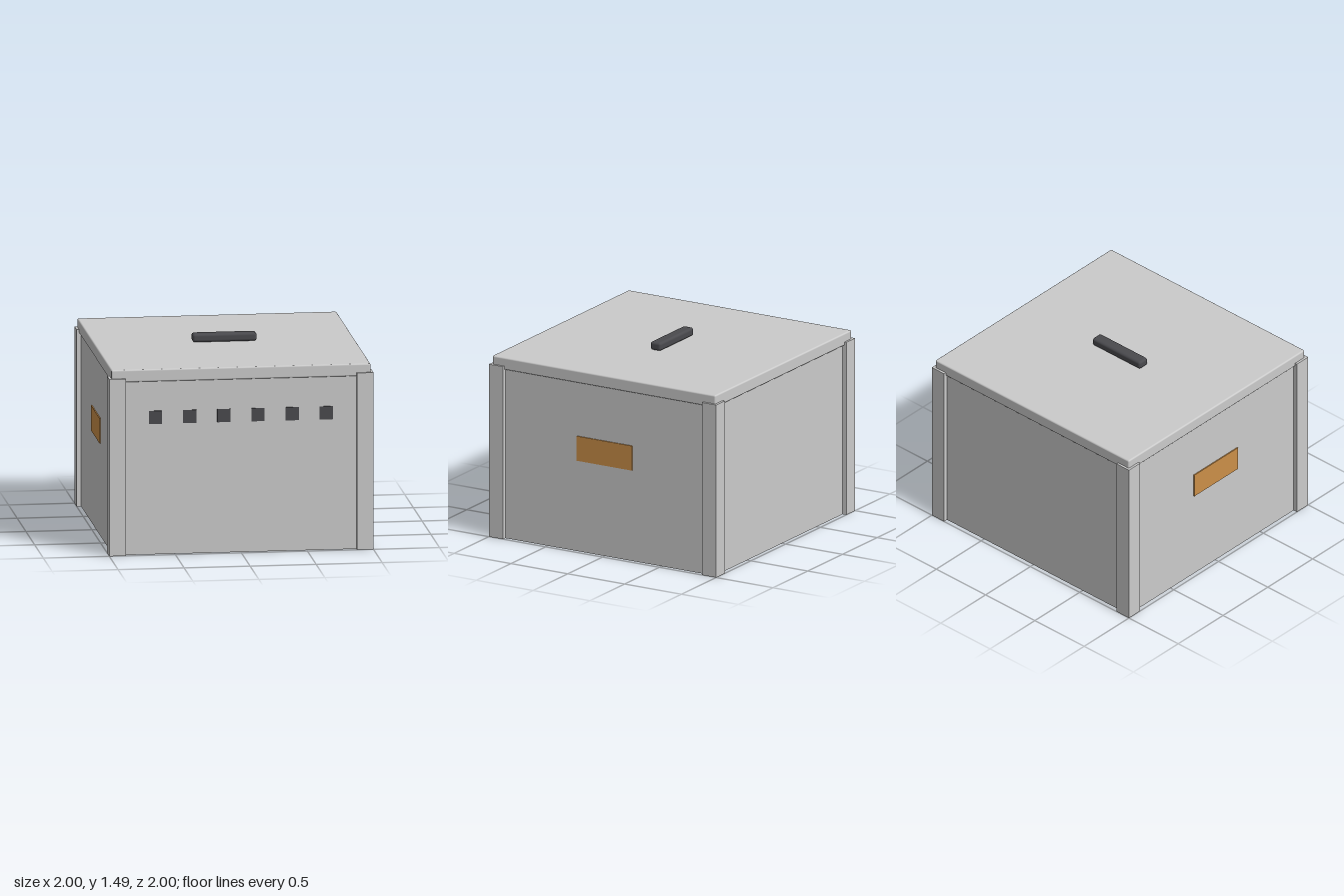
import * as THREE from 'three';
import { RoundedBoxGeometry } from 'three/addons/geometries/RoundedBoxGeometry.js';

export function createModel() {
  const model = new THREE.Group();
  model.name = 'storageBox';

  const mat = (name, color) => {
    const m = new THREE.MeshStandardMaterial({ color });
    m.name = name;
    return m;
  };
  const grey = mat('lightGrey', 0xcbcbcb);
  const dark = mat('charcoal', 0x4a4a4e);
  const orange = mat('orange', 0xcb8f48);

  const add = (name, geometry, material, x, y, z) => {
    const mesh = new THREE.Mesh(geometry, material);
    mesh.name = name;
    mesh.position.set(x, y, z);
    model.add(mesh);
    return mesh;
  };

  // Main body, set back a little behind the corner posts
  const half = 0.967;
  add('body', new THREE.BoxGeometry(half * 2, 1.34, half * 2), grey, 0, 0.67, 0);

  // Four corner posts
  const postGeo = new THREE.BoxGeometry(0.125, 1.355, 0.125);
  for (const x of [-1, 1])
    for (const z of [-1, 1])
      add('cornerPost', postGeo, grey, x * 0.9375, 0.6775, z * 0.9375);

  // Lid with softened edges, and its grip
  add('lid', new RoundedBoxGeometry(1.964, 0.095, 1.964, 2, 0.012), grey, 0, 1.3735, 0);
  add('lidHandle', new RoundedBoxGeometry(0.485, 0.065, 0.092, 2, 0.02), dark, 0, 1.4545, 0);

  // Row of square vents on the front
  const ventGeo = new THREE.BoxGeometry(0.1, 0.1, 0.008);
  for (let i = 0; i < 6; i++)
    add('vent', ventGeo, dark, (i - 2.5) * 0.2585, 1.05, half + 0.003);

  // Label plate on each side
  const plateGeo = new THREE.BoxGeometry(0.009, 0.193, 0.488);
  for (const s of [-1, 1])
    add('sidePlate', plateGeo, orange, s * (half + 0.004), 0.808, 0);

  return model;
}
